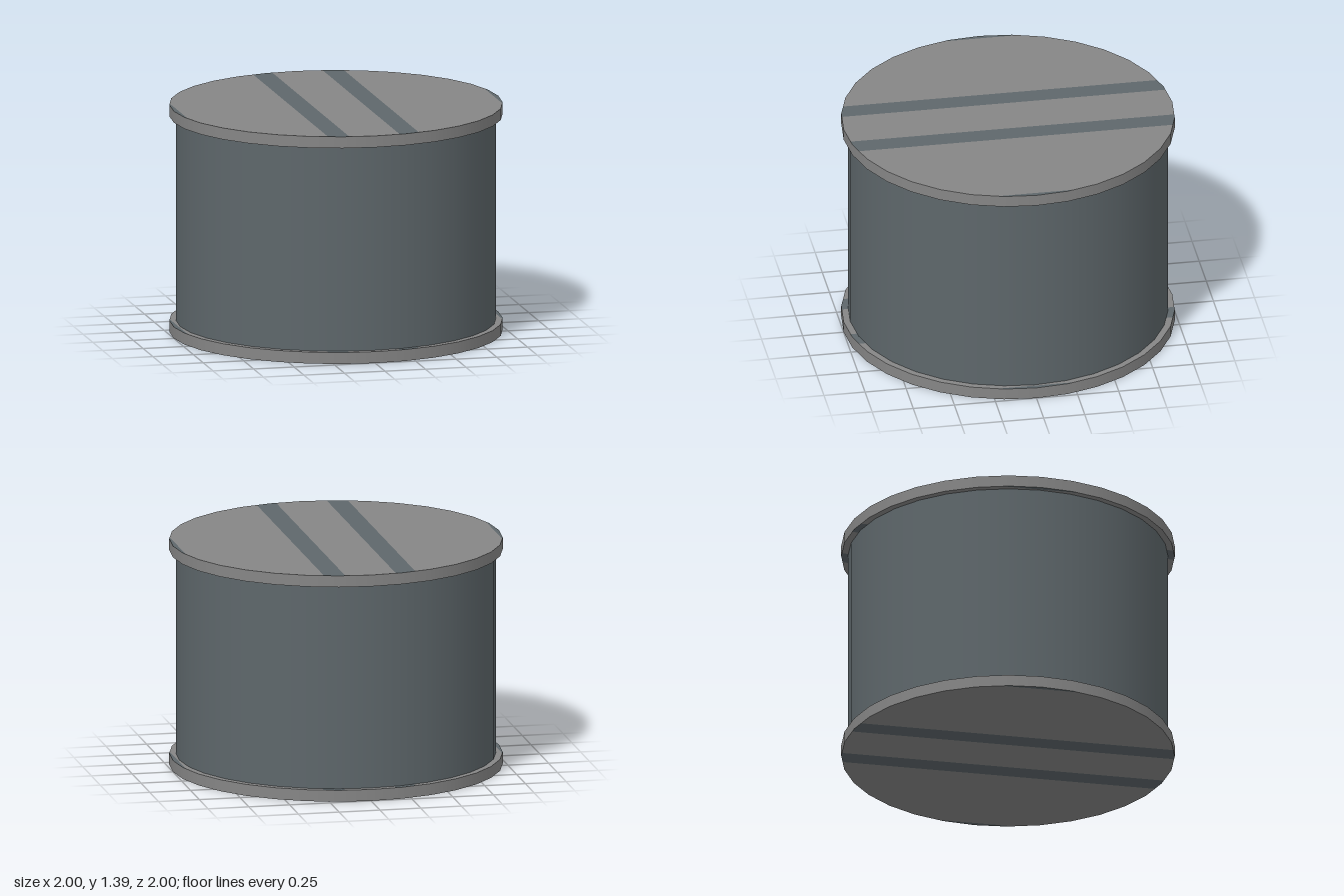
import * as THREE from 'three';
import { mergeGeometries } from 'three/addons/utils/BufferGeometryUtils.js';

const SIDES = 32;
const RIM = 0.07;
const HEIGHT = 1.39;
const DRUM_RADIUS = 0.96;

// Part of the 32-sided unit disc lying between two x values
function bandShape(x0, x1) {
  const corners = Array.from({ length: SIDES / 2 + 1 }, (_, i) => {
    const a = Math.PI - (i * 2 * Math.PI) / SIDES;
    return [Math.cos(a), i % (SIDES / 2) ? Math.sin(a) : 0];
  });
  const halfDepth = (x) => {
    const i = Math.max(1, corners.findIndex((c) => c[0] >= x - 1e-9));
    const [ax, ay] = corners[i - 1], [bx, by] = corners[i];
    return ay + ((by - ay) * (x - ax)) / (bx - ax);
  };
  const xs = [x0, ...corners.map((c) => c[0]).filter((x) => x > x0 + 1e-6 && x < x1 - 1e-6), x1];
  const lower = xs.map((x) => new THREE.Vector2(x, -halfDepth(x)));
  const upper = xs.map((x) => new THREE.Vector2(x, halfDepth(x))).reverse();
  const points = [...lower, ...upper].filter((p, i, all) => p.distanceTo(all[(i + 1) % all.length]) > 1e-6);
  return new THREE.Shape(points);
}

// Several bands as one flat face, looking up or down
function bandFace(bands, y, up) {
  const parts = bands.map(([a, b]) => new THREE.ShapeGeometry(bandShape(a, b)));
  return mergeGeometries(parts).rotateX(up ? -Math.PI / 2 : Math.PI / 2).translate(0, y, 0);
}

export function createModel() {
  const group = new THREE.Group();
  const grey = new THREE.MeshStandardMaterial({ color: 0x868686 });
  grey.name = 'rim grey';
  const slate = new THREE.MeshStandardMaterial({ color: 0x5e676b });
  slate.name = 'slate';

  const add = (parent, name, geometry, material) => {
    const mesh = new THREE.Mesh(geometry, material);
    mesh.name = name;
    parent.add(mesh);
  };

  // Drum wall
  const wall = new THREE.CylinderGeometry(DRUM_RADIUS, DRUM_RADIUS, HEIGHT - 2 * RIM, SIDES, 1, true);
  add(group, 'drumWall', wall.translate(0, HEIGHT / 2, 0), slate);

  // Striped end plates
  const plain = [[-0.97, -0.28], [-0.155, 0.155], [0.28, 0.97]];
  const stripes = [[-1, -0.97], [-0.28, -0.155], [0.155, 0.28], [0.97, 1]];
  for (const [name, y] of [['bottomPlate', 0], ['topPlate', HEIGHT - RIM]]) {
    const plate = new THREE.Group();
    plate.name = name;
    const edge = new THREE.CylinderGeometry(1, 1, RIM, SIDES, 1, true);
    add(plate, 'rimEdge', edge.translate(0, y + RIM / 2, 0), grey);
    for (const [side, faceY, up] of [['upper', y + RIM, true], ['lower', y, false]]) {
      add(plate, side + 'Face', bandFace(plain, faceY, up), grey);
      add(plate, side + 'Stripes', bandFace(stripes, faceY, up), slate);
    }
    group.add(plate);
  }
  return group;
}
